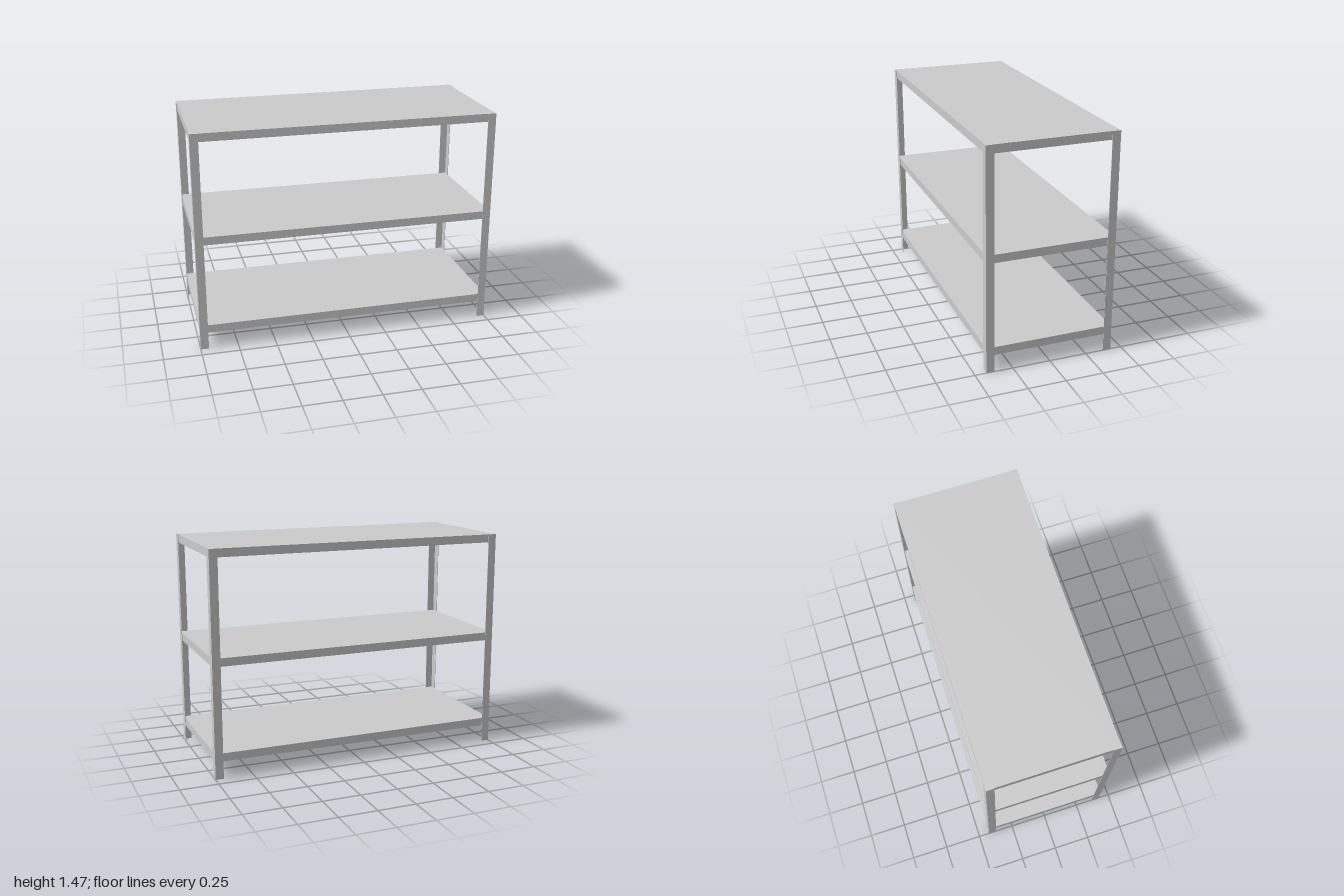
import * as THREE from 'three';

const W = 2, D = 0.852, H = 1.471; // overall size
const LEG = 0.054, T = 0.003;      // angle-iron leg width and sheet thickness
const RIM = 0.054, BOARD = 0.027;  // shelf rim height and board thickness

export function createModel() {
  const group = new THREE.Group();
  const material = new THREE.MeshStandardMaterial({ color: 0xcccccc });

  const addBox = (parent, name, size, position) => {
    const mesh = new THREE.Mesh(new THREE.BoxGeometry(...size), material);
    mesh.position.set(...position);
    mesh.name = name;
    parent.add(mesh);
  };

  // L-shaped corner posts, open towards the inside of the rack
  for (const sx of [-1, 1]) {
    for (const sz of [-1, 1]) {
      const corners = [[0, 0], [LEG, 0], [LEG, T], [T, T], [T, LEG], [0, LEG]];
      const outline = new THREE.Shape(corners.map(([a, b]) =>
        new THREE.Vector2(sx * (W / 2 - a), sz * (D / 2 - b))));
      const geometry = new THREE.ExtrudeGeometry(outline, { depth: H, bevelEnabled: false });
      geometry.rotateX(Math.PI / 2).translate(0, H, 0);
      const post = new THREE.Mesh(geometry, material);
      post.name = (sz > 0 ? 'front' : 'back') + (sx > 0 ? 'Left' : 'Right') + 'Post';
      group.add(post);
    }
  }

  // Shelves: a board with a thin rim hanging below its edges
  const w = W - 2 * T, d = D - 2 * T;
  const tops = { bottomShelf: 0.17, middleShelf: 0.79, topShelf: H };
  for (const [name, top] of Object.entries(tops)) {
    const shelf = new THREE.Group();
    shelf.name = name;
    shelf.position.y = top;
    addBox(shelf, 'board', [w, BOARD, d], [0, -BOARD / 2, 0]);
    const drop = RIM - BOARD, y = -BOARD - drop / 2;
    for (const s of [-1, 1]) {
      addBox(shelf, s > 0 ? 'frontRim' : 'backRim', [w, drop, T], [0, y, s * (d - T) / 2]);
      addBox(shelf, s > 0 ? 'leftRim' : 'rightRim', [T, drop, d - 2 * T], [s * (w - T) / 2, y, 0]);
    }
    group.add(shelf);
  }
  return group;
}
